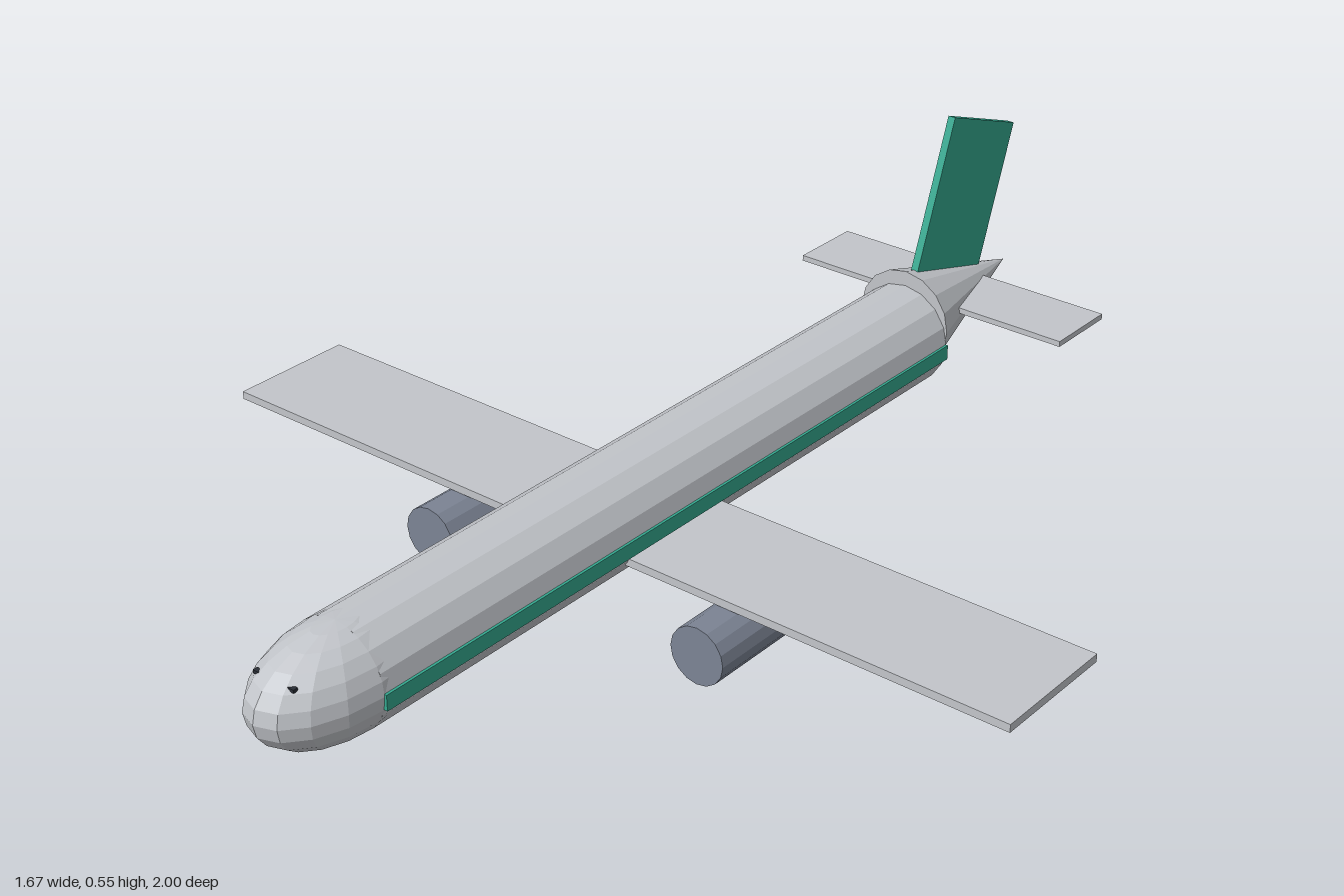
import * as THREE from 'three';

const material = (name, color) => new THREE.MeshStandardMaterial({ name, color, flatShading: true });

export function createModel() {
  const shell = material('light grey', 0xc2c5ca);
  const accent = material('green', 0x34a88f);
  const metal = material('slate grey', 0x7c8494);
  const glass = material('dark glass', 0x2a2e36);
  const plane = new THREE.Group();
  plane.name = 'airliner';

  const add = (name, geometry, mat, x, y, z) => {
    const mesh = new THREE.Mesh(geometry, mat);
    mesh.name = name;
    mesh.position.set(x, y, z);
    plane.add(mesh);
    return mesh;
  };
  const box = (w, h, d) => new THREE.BoxGeometry(w, h, d);

  // Fuselage, rounded nose and raised tail cone
  const R = 0.0975, axisY = 0.155;
  add('fuselage', new THREE.CylinderGeometry(R, R, 1.48, 16).rotateX(Math.PI / 2), shell, 0, axisY, 0.085);
  add('nose', new THREE.SphereGeometry(R, 16, 12).scale(1, 1, 1.8), shell, 0, axisY, 0.825);
  add('tailCone', new THREE.ConeGeometry(R, 0.34, 16).rotateX(-Math.PI / 2), shell, 0, 0.184, -0.825);

  // Wing and tailplane
  add('wing', box(1.67, 0.015, 0.245), shell, 0, 0.115, 0.133);
  add('tailplane', box(0.59, 0.011, 0.148), shell, 0, 0.194, -0.805);

  // Swept fin
  const fin = add('fin', box(0.015, 0.3, 0.218), accent, 0, 0.372, -0.836);
  fin.rotation.x = -THREE.MathUtils.degToRad(20);

  // Mirrored stripes, engines and cockpit windows
  for (const [side, s] of [['left', 1], ['right', -1]]) {
    add(side + 'Stripe', box(0.01, 0.029, 1.48), accent, s * 0.0965, 0.145, 0.085);
    add(side + 'Engine', new THREE.CylinderGeometry(0.0535, 0.0535, 0.192, 16).rotateX(Math.PI / 2),
      metal, s * 0.294, 0.0545, 0.233);
    add(side + 'CockpitWindow', box(0.014, 0.006, 0.009), glass, s * 0.036, 0.209, 0.95);
  }
  return plane;
}
